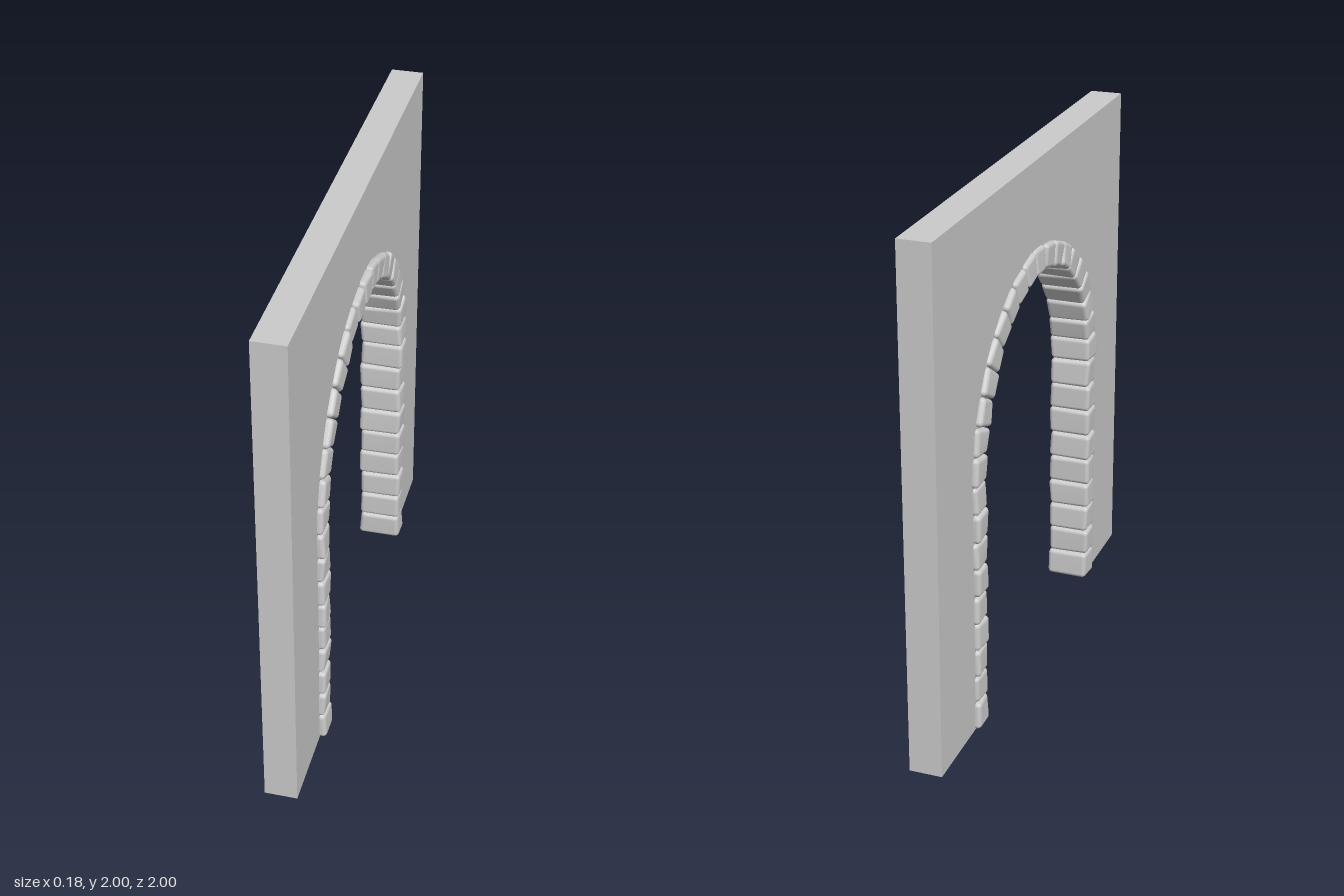
import * as THREE from 'three';
import { RoundedBoxGeometry } from 'three/addons/geometries/RoundedBoxGeometry.js';
import { mergeVertices } from 'three/addons/utils/BufferGeometryUtils.js';

const RADIUS = 0.623;   // centreline of the stone ring
const SPRING = 0.99;    // height where the arch starts
const DEPTH = 0.168;    // stone size through the wall
const BAND = 0.1;       // stone size across the ring
const LEG_STONES = 9;
const ARCH_STONES = 19;

let seed = 7;
function jitter(amount) {
  seed = (seed * 16807) % 2147483647;
  return (seed / 2147483647 * 2 - 1) * amount;
}

// Rough rounded block: x through the wall, y along the ring, z outward
function stoneGeometry(length, taper) {
  let geo = new RoundedBoxGeometry(DEPTH, length, BAND, 3, 0.017);
  geo.deleteAttribute('normal');
  geo.deleteAttribute('uv');
  geo = mergeVertices(geo, 1e-5);
  const corners = Array.from({ length: 8 }, () =>
    new THREE.Vector3(jitter(0.006), jitter(0.003), jitter(0.004)));
  const p = geo.attributes.position;
  const v = new THREE.Vector3();
  for (let i = 0; i < p.count; i++) {
    v.fromBufferAttribute(p, i);
    const u = [v.x / DEPTH + 0.5, v.y / length + 0.5, v.z / BAND + 0.5];
    if (taper) v.y *= 1 + v.z / RADIUS;
    // blend the eight corner offsets so each block is slightly skewed
    corners.forEach((c, k) => {
      const w = u.reduce((a, t, axis) => a * ((k >> axis) & 1 ? t : 1 - t), 1);
      v.addScaledVector(c, w);
    });
    p.setXYZ(i, v.x, v.y, v.z);
  }
  geo.computeVertexNormals();
  return geo;
}

export function createModel() {
  const model = new THREE.Group();
  const material = new THREE.MeshStandardMaterial({ color: 0xcccccc });

  // Wall slab with the arched doorway cut out, drawn in (z, y)
  const shape = new THREE.Shape();
  shape.moveTo(-1, 0);
  shape.lineTo(-RADIUS, 0);
  shape.lineTo(-RADIUS, SPRING);
  shape.absarc(0, SPRING, RADIUS, Math.PI, 0, true);
  shape.lineTo(RADIUS, 0);
  shape.lineTo(1, 0);
  shape.lineTo(1, 2);
  shape.lineTo(-1, 2);
  shape.closePath();
  const wallGeo = new THREE.ExtrudeGeometry(shape, { depth: 0.125, bevelEnabled: false, curveSegments: 32 });
  wallGeo.translate(0, 0, -0.06);
  wallGeo.rotateY(-Math.PI / 2);
  const wall = new THREE.Mesh(wallGeo, material);
  wall.name = 'wall';
  model.add(wall);

  function addStone(parent, name, length, angle, y, z, taper) {
    const geo = stoneGeometry(length, taper);
    geo.rotateX(-angle);
    geo.translate(jitter(0.002), y, z);
    const p = geo.attributes.position;
    for (let i = 0; i < p.count; i++) p.setY(i, Math.max(0, p.getY(i)));
    const stone = new THREE.Mesh(geo, material);
    stone.name = name;
    parent.add(stone);
  }

  // Straight jambs on both sides of the opening
  const pitch = SPRING / LEG_STONES;
  for (const side of [1, -1]) {
    const jamb = new THREE.Group();
    jamb.name = side > 0 ? 'frontJamb' : 'backJamb';
    for (let i = 0; i < LEG_STONES; i++) {
      addStone(jamb, 'jambStone', pitch - 0.001, side > 0 ? 0 : Math.PI,
        (i + 0.5) * pitch, side * RADIUS + jitter(0.002), false);
    }
    model.add(jamb);
  }

  // Ring of wedge stones around the semicircle
  const arch = new THREE.Group();
  arch.name = 'arch';
  const step = Math.PI / ARCH_STONES;
  for (let i = 0; i < ARCH_STONES; i++) {
    const a = (i + 0.5) * step;
    const r = RADIUS + jitter(0.003);
    addStone(arch, i === (ARCH_STONES - 1) / 2 ? 'keystone' : 'archStone',
      step * RADIUS - 0.001, a + jitter(0.02),
      SPRING + r * Math.sin(a), r * Math.cos(a), true);
  }
  model.add(arch);

  return model;
}
